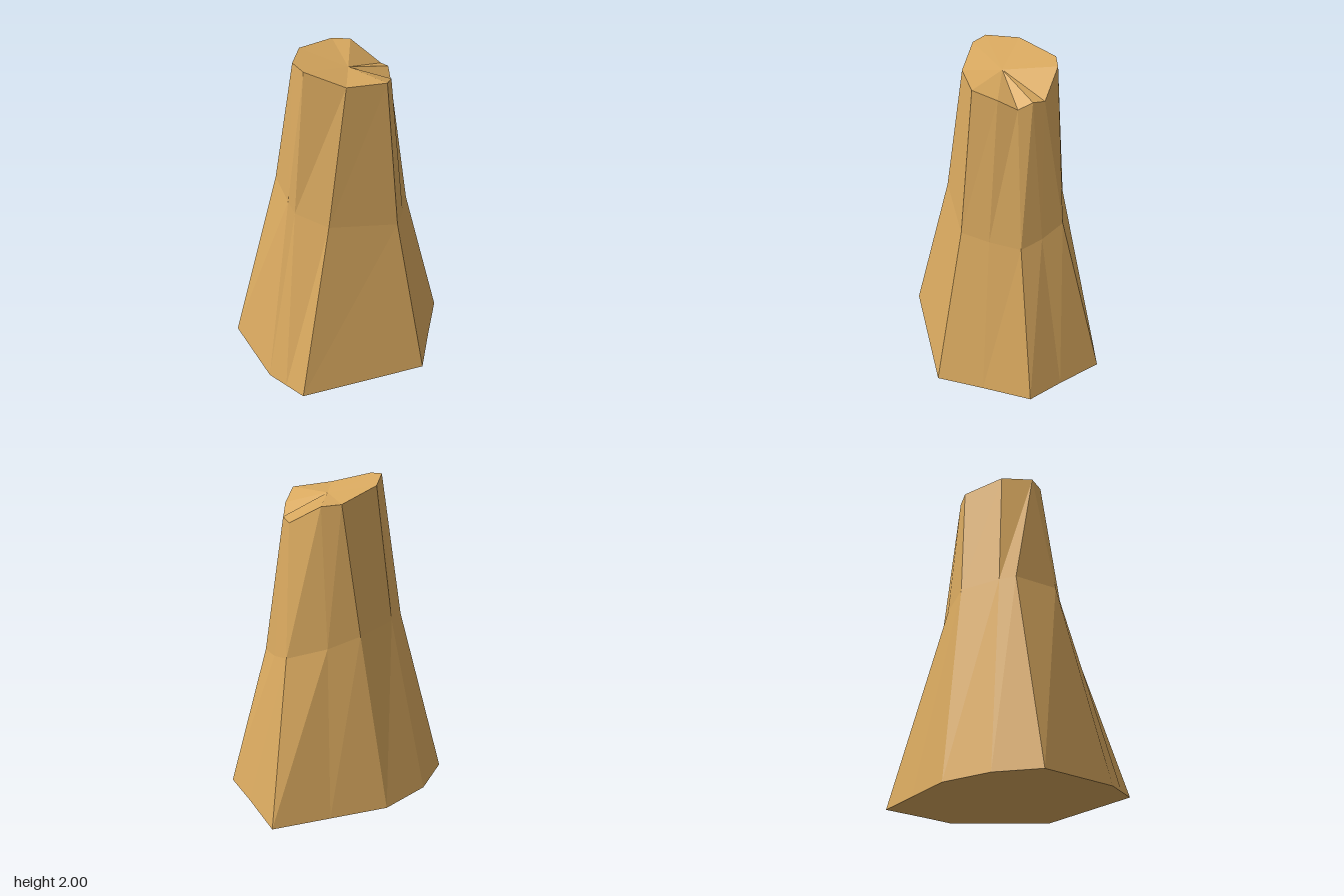
import * as THREE from 'three';

// Each edge runs from the base [x, z] through a bend [x, y, z] to the rim [x, y, z]
const EDGES = [
  [[0.04, 0.61], [0.03, 1.03, 0.36], [0.03, 1.90, 0.25]],
  [[0.30, 0.46], [0.18, 1.00, 0.28], [0.15, 1.86, 0.18]],
  [[0.57, 0.31], [0.34, 0.98, 0.18], [0.23, 1.81, 0.11]],
  [[0.61, 0.08], [0.38, 1.01, 0.05], [0.28, 1.85, 0.05]],
  [[0.67, -0.21], [0.41, 1.07, -0.09], [0.30, 1.84, -0.02]],
  [[0.35, -0.39], [0.25, 1.14, -0.26], [0.23, 1.96, -0.19]],
  [[0.03, -0.57], [0.09, 1.20, -0.36], [0.15, 1.97, -0.26]],
  [[-0.28, -0.61], [-0.17, 1.20, -0.36], [-0.12, 2.00, -0.25]],
  [[-0.53, -0.54], [-0.27, 1.20, -0.34], [-0.28, 2.00, -0.14]],
  [[-0.67, -0.07], [-0.40, 1.20, -0.10], [-0.28, 2.00, -0.14]],
  [[-0.66, 0.07], [-0.40, 1.14, -0.05], [-0.29, 1.98, -0.05]],
  [[-0.65, 0.21], [-0.33, 1.10, 0.15], [-0.17, 1.91, 0.14]],
];

function meshFrom(name, triangles, material) {
  const geometry = new THREE.BufferGeometry();
  geometry.setAttribute('position', new THREE.Float32BufferAttribute(triangles.flat(2), 3));
  geometry.computeVertexNormals();
  const mesh = new THREE.Mesh(geometry, material);
  mesh.name = name;
  return mesh;
}

export function createModel() {
  const group = new THREE.Group();
  group.name = 'taperedStump';
  const material = new THREE.MeshStandardMaterial({ color: 0xd9a95f, flatShading: true });

  const columns = EDGES.map(([[x, z], bend, rim]) => [[x, 0, z], bend, rim]);
  const sides = [], top = [], base = [];
  const topCentre = [0, 1.925, 0], baseCentre = [0, 0, 0];
  columns.forEach((a, i) => {
    const b = columns[(i + 1) % columns.length];
    // Flared foot and narrower neck
    for (let k = 0; k < 2; k++) {
      sides.push([a[k], b[k], b[k + 1]]);
      // the rim may close to a point
      if (a[k + 1].some((v, n) => v !== b[k + 1][n])) sides.push([a[k], b[k + 1], a[k + 1]]);
    }
    // Slanted cut on top and flat underside
    if (a[2].some((v, n) => v !== b[2][n])) top.push([topCentre, a[2], b[2]]);
    base.push([baseCentre, b[0], a[0]]);
  });

  group.add(
    meshFrom('sides', sides, material),
    meshFrom('cutTop', top, material),
    meshFrom('base', base, material),
  );
  return group;
}
